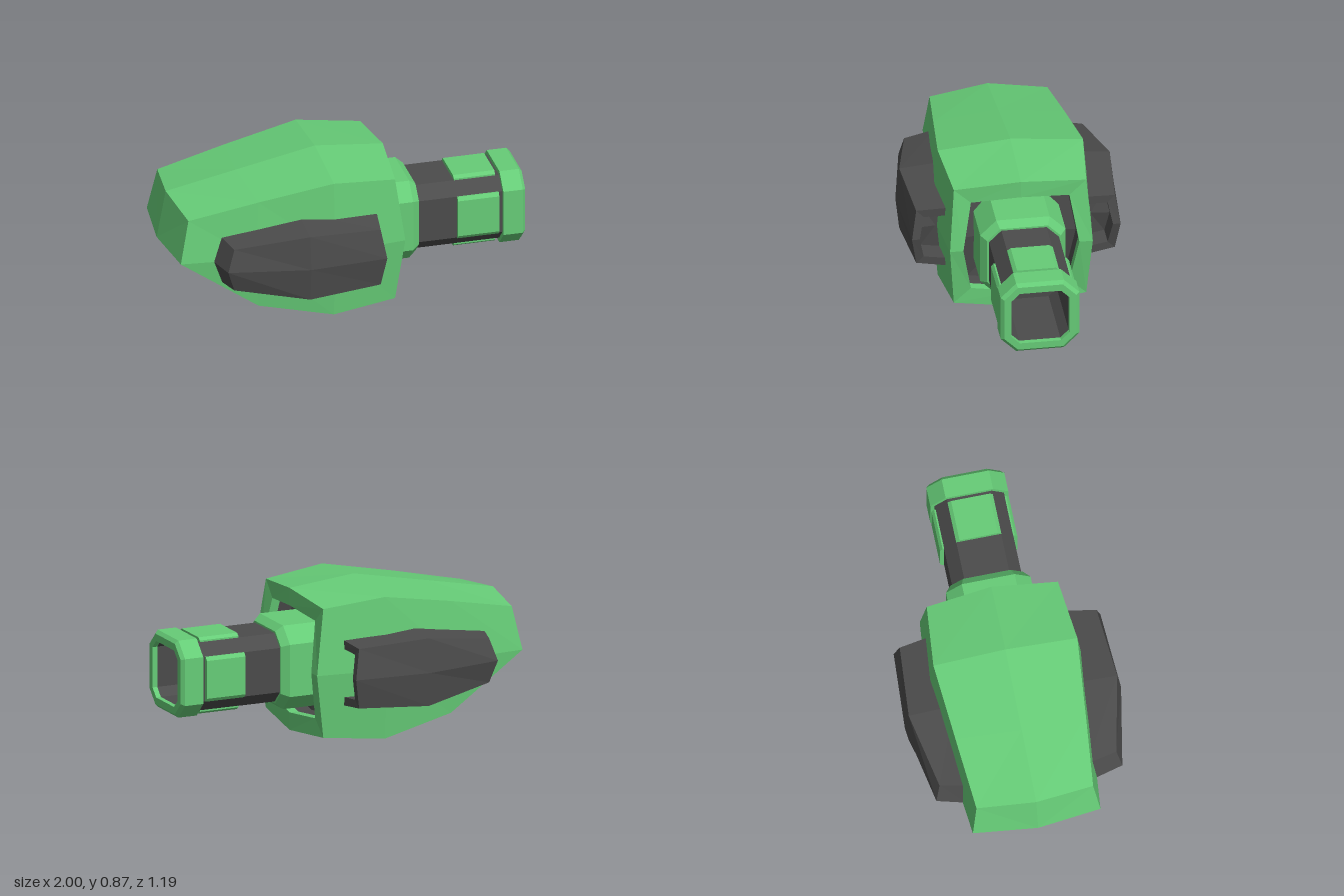
import * as THREE from 'three';

const GREEN = 0x66cc77, DARK = 0x4b4b4b;
const CY = 0.43; // height of the long axis

// Skin a series of closed rings of [x, y, z] points; rings run counter-clockwise seen from +x
function loft(name, color, rings) {
  const pos = [];
  const tri = (...p) => {
    const [a, b, c] = p.map((q) => new THREE.Vector3(...q));
    if (b.clone().sub(a).cross(c.clone().sub(a)).length() < 1e-7) return;
    pos.push(...p.flat());
  };
  for (let i = 0; i < rings.length - 1; i++) {
    const r = rings[i], s = rings[i + 1], n = r.length;
    for (let j = 0; j < n; j++) {
      const k = (j + 1) % n;
      tri(r[j], r[k], s[k]);
      tri(r[j], s[k], s[j]);
    }
  }
  const geo = new THREE.BufferGeometry();
  geo.setAttribute('position', new THREE.Float32BufferAttribute(pos, 3));
  geo.computeVertexNormals();
  const mesh = new THREE.Mesh(geo, new THREE.MeshStandardMaterial({ color, flatShading: true }));
  mesh.name = name;
  return mesh;
}

// Eight-point body ring from its top, top corner, side, bottom corner and bottom points
const bodyRing = (half) => [...half, ...half.slice(1, 4).reverse().map(([x, y, z]) => [x, y, -z])];
const point = (p, n) => Array.from({ length: n }, () => p);
const moveX = (ring, dx) => ring.map(([x, y, z]) => [x + dx, y, z]);

// Chamfered square ring
function octagon(x, h, f) {
  return [[-f, h], [f, h], [h, f], [h, -f], [f, -h], [-f, -h], [-h, -f], [-h, f]]
    .map(([z, y]) => [x, CY + y, z]);
}

function makeBody() {
  const group = new THREE.Group();
  group.name = 'body';
  const tip = [-1, CY, 0], noseSide = [-0.96, CY, 0.35];
  const nose = bodyRing([[-0.95, 0.7, 0], [-0.91, 0.67, 0.32], noseSide, noseSide, tip]);
  const front = bodyRing([[-0.56, 0.778, 0], [-0.53, 0.75, 0.357], [-0.55, CY, 0.39], [-0.53, 0.13, 0.36], [-0.56, 0.1, 0]]);
  const widest = bodyRing([[-0.12, 0.865, 0], [-0.12, 0.827, 0.395], [-0.12, CY, 0.43], [-0.12, 0.04, 0.395], [-0.12, 0, 0]]);
  const rear = bodyRing([[0.26, 0.827, 0], [0.23, 0.79, 0.36], [0.28, CY, 0.388], [0.23, 0.075, 0.36], [0.26, 0.038, 0]]);
  const opening = bodyRing([[0.26, 0.73, 0], [0.235, 0.705, 0.268], [0.28, CY, 0.315], [0.235, 0.163, 0.268], [0.26, 0.135, 0]]);
  const lip = moveX(opening, -0.05);
  group.add(loft('shell', GREEN, [point(tip, 8), nose, front, widest, rear, opening, lip]));
  group.add(loft('recess', DARK, [lip, moveX(lip, -0.08), point([0.1, CY, 0], 8)]));
  group.position.z = -0.005;
  return group;
}

// Side pod, hollow at its rear end
function makePod(side) {
  const ring = ([bx, by], [cx, cy, cz], [mx, mz], base = 0.32) => {
    const r = [[bx, CY + by, base], [cx, CY + cy, cz], [mx, CY, mz], [cx, CY - cy, cz], [bx, CY - by, base]];
    return side > 0 ? r : r.map(([x, y, z]) => [x, y, -z]).reverse();
  };
  const opening = ring([0.13, 0.14], [0.105, 0.125, 0.5], [0.13, 0.525]);
  return loft(side > 0 ? 'leftPod' : 'rightPod', DARK, [
    point([-0.78, CY, side * 0.36], 5),
    ring([-0.74, 0.135], [-0.7, 0.122, 0.485], [-0.74, 0.51]),
    ring([-0.3, 0.21], [-0.3, 0.188, 0.572], [-0.3, 0.593]),
    ring([0.13, 0.188], [0.1, 0.165, 0.54], [0.13, 0.567]),
    opening,
    moveX(opening, -0.12),
    point([0.0, CY, side * 0.42], 5),
  ]);
}

function makeBarrel() {
  const group = new THREE.Group();
  group.name = 'barrel';
  group.add(loft('collar', GREEN, [
    octagon(0.09, 0.232, 0.145), octagon(0.365, 0.232, 0.145),
    octagon(0.405, 0.2, 0.13), octagon(0.405, 0.18, 0.12),
  ]));
  group.add(loft('tube', DARK, [octagon(0.39, 0.19, 0.123), octagon(0.88, 0.19, 0.123)]));
  group.add(loft('muzzle', GREEN, [
    octagon(0.872, 0.17, 0.11), octagon(0.872, 0.214, 0.13), octagon(0.98, 0.214, 0.13),
    octagon(0.998, 0.196, 0.122), octagon(0.998, 0.157, 0.112), octagon(0.97, 0.157, 0.112),
  ]));
  group.add(loft('bore', DARK, [
    octagon(0.97, 0.157, 0.112), octagon(0.55, 0.157, 0.112), point([0.55, CY, 0], 8),
  ]));

  // Four raised pads with bevelled long edges
  for (let i = 0; i < 4; i++) {
    const pad = loft('pad', GREEN, [
      point([0.62, 0.19, 0], 6),
      ...[0.62, 0.85].map((x) => [
        [x, 0.212, -0.105], [x, 0.212, 0.105], [x, 0.198, 0.124],
        [x, 0.17, 0.124], [x, 0.17, -0.124], [x, 0.198, -0.124],
      ]),
      point([0.85, 0.19, 0], 6),
    ]);
    pad.position.y = CY;
    pad.rotation.x = (i * Math.PI) / 2;
    group.add(pad);
  }
  return group;
}

export function createModel() {
  const model = new THREE.Group();
  model.name = 'armCannon';
  model.add(makeBody(), makePod(1), makePod(-1), makeBarrel());
  return model;
}
